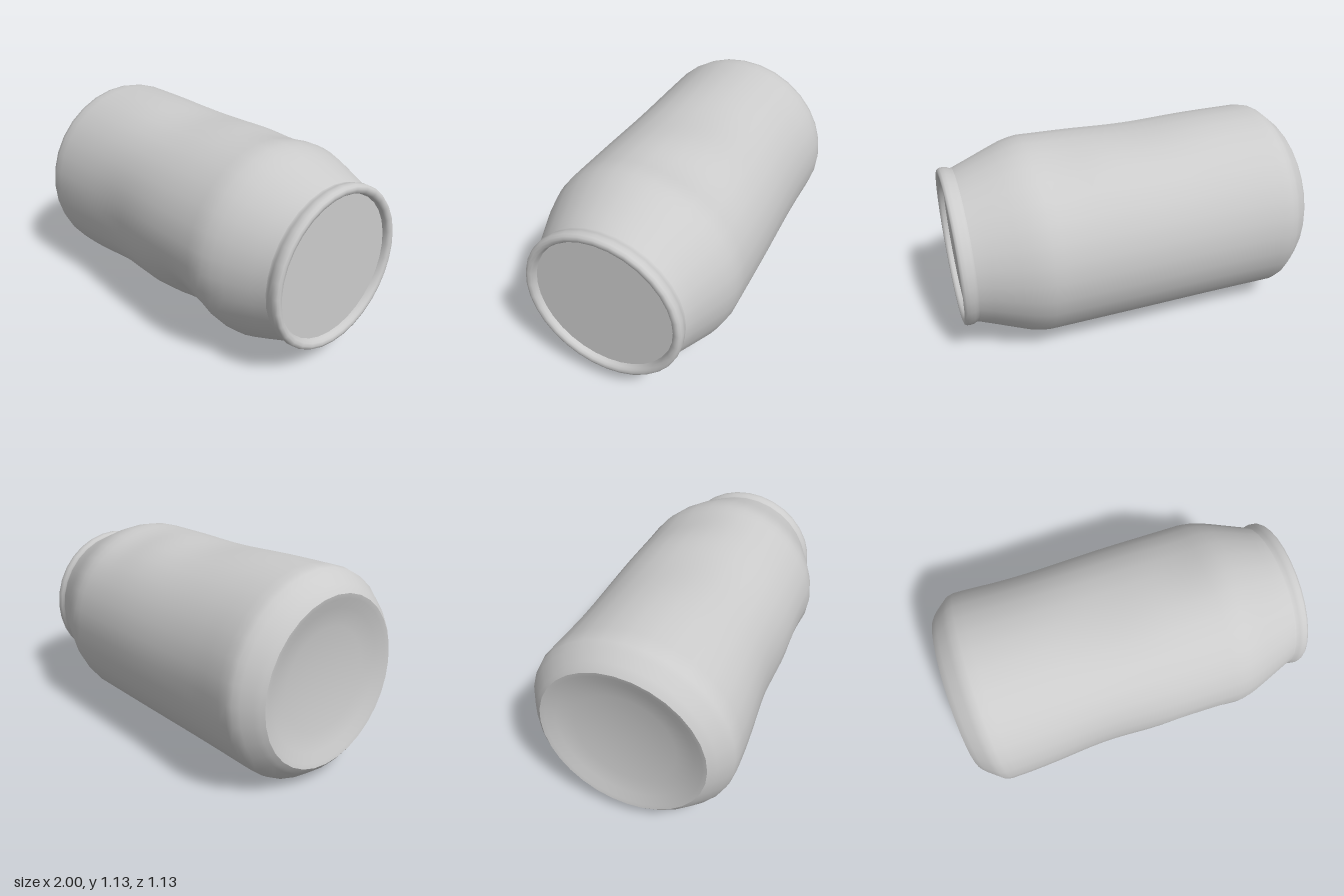
import * as THREE from 'three';
import { mergeVertices, toCreasedNormals } from 'three/addons/utils/BufferGeometryUtils.js';

const AXIS_Y = 0.567;
const SEGMENTS = 32;

// Dents: [x, angle in degrees (0 = front, 90 = top), depth, spread along x, spread in degrees]
const DENTS = [
  [0.31, -42, 0.085, 0.16, 19],
  [-0.27, -62, 0.045, 0.2, 17],
  [-0.25, -5, 0.03, 0.22, 24],
  [-0.08, 93, 0.034, 0.22, 20],
  [0.4, 108, 0.03, 0.14, 18],
  [-0.45, 165, 0.014, 0.25, 30],
];

function dentDepth(x, angle) {
  let depth = 0;
  for (const [cx, ca, d, sx, sa] of DENTS) {
    const da = ((angle - ca + 540) % 360) - 180;
    depth += d * Math.exp(-0.5 * (((x - cx) / sx) ** 2 + (da / sa) ** 2));
  }
  // Ends stay rigid
  return depth * THREE.MathUtils.smoothstep(x, -0.9, -0.6) * (1 - THREE.MathUtils.smoothstep(x, 0.6, 0.9));
}

// Revolves [radius, x] points around the x axis, then applies the dents
function revolve(name, profile, crease, material) {
  let geometry = new THREE.LatheGeometry(profile.map(([r, x]) => new THREE.Vector2(r, x)), SEGMENTS);
  geometry.rotateZ(-Math.PI / 2);
  geometry.deleteAttribute('uv');
  geometry.deleteAttribute('normal');
  geometry = mergeVertices(geometry, 1e-5);
  const p = geometry.attributes.position;
  for (let i = 0; i < p.count; i++) {
    const x = p.getX(i), y = p.getY(i), z = p.getZ(i);
    const r = Math.hypot(y, z);
    if (r < 0.4) continue;
    const angle = THREE.MathUtils.radToDeg(Math.atan2(y, z));
    const k = (r - dentDepth(x, angle)) / r;
    p.setXYZ(i, x, y * k, z * k);
  }
  const mesh = new THREE.Mesh(toCreasedNormals(geometry, crease), material);
  mesh.name = name;
  mesh.position.y = AXIS_Y;
  return mesh;
}

export function createModel() {
  const group = new THREE.Group();
  group.name = 'dentedCan';
  const metal = new THREE.MeshStandardMaterial({ color: 0xcccccc, side: THREE.DoubleSide });

  // Body wall: bottom chamfer, straight wall, tapered shoulder
  const wall = [[0.455, -1], [0.475, -0.985], [0.495, -0.965], [0.535, -0.915], [0.558, -0.885], [0.566, -0.85]];
  for (let i = 1; i <= 26; i++) wall.push([0.566, -0.85 + i * 0.0535]);
  wall.push([0.558, 0.59], [0.543, 0.645], [0.518, 0.71], [0.49, 0.78], [0.462, 0.85], [0.435, 0.92]);
  group.add(revolve('bodyWall', wall, 0.9, metal));

  // Concave base
  group.add(revolve('base', [[0, -0.94], [0.15, -0.945], [0.28, -0.957], [0.38, -0.975], [0.43, -0.995], [0.455, -1]], 0.9, metal));

  // Rolled rim around the lid
  group.add(revolve('rim', [
    [0.435, 0.92], [0.434, 0.93], [0.442, 0.945], [0.445, 0.965], [0.443, 0.985],
    [0.435, 0.997], [0.422, 1], [0.405, 0.997], [0.396, 0.985], [0.391, 0.965],
  ], 0.8, metal));

  // Flat recessed lid
  group.add(revolve('lid', [[0.391, 0.965], [0, 0.965]], 0.5, metal));

  return group;
}
